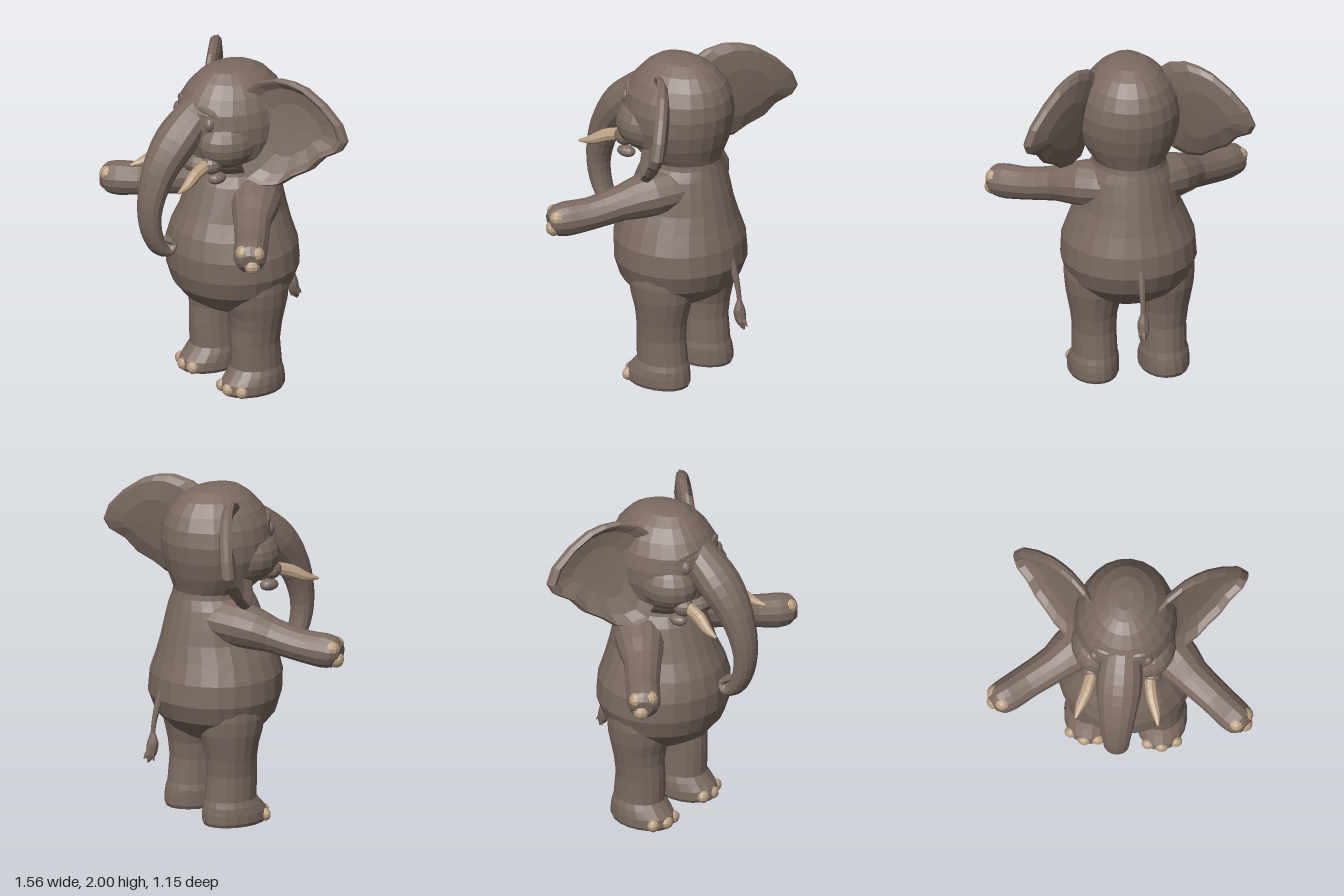
import * as THREE from 'three';

const V = (x, y, z) => new THREE.Vector3(x, y, z);

// Skin a list of closed rings and close both ends
function skin(rings) {
  const n = rings[0].length, pos = [], idx = [];
  rings.forEach(r => r.forEach(p => pos.push(p.x, p.y, p.z)));
  for (let i = 0; i < rings.length - 1; i++) {
    for (let j = 0; j < n; j++) {
      const k = (j + 1) % n, a = i * n + j, b = i * n + k;
      idx.push(a, b, b + n, a, b + n, a + n);
    }
  }
  [0, rings.length - 1].forEach((r, end) => {
    const c = rings[r].reduce((s, p) => s.add(p), V(0, 0, 0)).divideScalar(n);
    const ci = pos.length / 3;
    pos.push(c.x, c.y, c.z);
    for (let j = 0; j < n; j++) {
      const a = r * n + j, b = r * n + (j + 1) % n;
      if (end) idx.push(ci, a, b); else idx.push(ci, b, a);
    }
  });
  const g = new THREE.BufferGeometry();
  g.setAttribute('position', new THREE.Float32BufferAttribute(pos, 3));
  g.setIndex(idx);
  g.computeVertexNormals();
  return g;
}

// Horizontal oval slices: [y, half width, front z, back z, centre x]
function slices(rows, sides) {
  return skin(rows.map(([y, w, f, b, cx = 0]) => Array.from({ length: sides }, (_, j) => {
    const a = j / sides * Math.PI * 2;
    return V(cx + w * Math.cos(a), y, (f + b) / 2 - (f - b) / 2 * Math.sin(a));
  })));
}

// Oval limb along a curve: stations [x, y, z, radius along hint, radius across]
function limb(stations, steps, sides, hint) {
  const path = new THREE.CatmullRomCurve3(stations.map(s => V(s[0], s[1], s[2])));
  const size = new THREE.CatmullRomCurve3(stations.map(s => V(s[3], s[4], 0)));
  const rings = [];
  for (let i = 0; i <= steps; i++) {
    const t = i / steps, c = path.getPoint(t), T = path.getTangent(t), r = size.getPoint(t);
    const S = hint.clone().addScaledVector(T, -hint.dot(T)).normalize();
    const U = T.clone().cross(S);
    rings.push(Array.from({ length: sides }, (_, j) => {
      const a = j / sides * Math.PI * 2;
      return c.clone().addScaledVector(S, r.x * Math.cos(a)).addScaledVector(U, r.y * Math.sin(a));
    }));
  }
  return skin(rings);
}

const blob = (x, y, z, rx, ry, rz, w = 12, h = 8) =>
  new THREE.SphereGeometry(1, w, h).scale(rx, ry, rz).translate(x, y, z);

// Mirror across x = 0, keeping faces outward
function mirrored(geo) {
  const g = geo.clone().scale(-1, 1, 1), ix = g.index;
  for (let i = 0; i < ix.count; i += 3) {
    const b = ix.getX(i + 1);
    ix.setX(i + 1, ix.getX(i + 2));
    ix.setX(i + 2, b);
  }
  g.computeVertexNormals();
  return g;
}

export function createModel() {
  const hide = new THREE.MeshStandardMaterial({ color: 0x7b6a61, flatShading: true });
  hide.name = 'greyBrownHide';
  const ivory = new THREE.MeshStandardMaterial({ color: 0xb99f82, flatShading: true });
  ivory.name = 'ivory';
  const model = new THREE.Group();
  model.name = 'elephant';
  const add = (name, geo, mat = hide) => {
    const m = new THREE.Mesh(geo, mat);
    m.name = name;
    model.add(m);
  };
  const pair = (name, geo, mat = hide) => {
    add(name + 'Left', geo, mat);
    add(name + 'Right', mirrored(geo), mat);
  };
  const X = V(1, 0, 0), Y = V(0, 1, 0);

  // Torso
  add('torso', slices([
    [0.46, 0.1, 0.02, -0.15], [0.49, 0.2, 0.1, -0.25], [0.55, 0.29, 0.195, -0.35],
    [0.64, 0.365, 0.268, -0.435], [0.75, 0.4, 0.303, -0.475], [0.88, 0.392, 0.31, -0.465],
    [1.0, 0.345, 0.285, -0.43], [1.1, 0.3, 0.24, -0.408], [1.2, 0.28, 0.2, -0.385],
    [1.3, 0.255, 0.16, -0.36], [1.36, 0.215, 0.13, -0.345], [1.44, 0.2, 0.1, -0.33],
  ], 24));

  // Head
  add('head', slices([
    [1.34, 0.17, 0.08, -0.3], [1.38, 0.205, 0.13, -0.335], [1.43, 0.24, 0.19, -0.35],
    [1.5, 0.275, 0.225, -0.375], [1.6, 0.3, 0.25, -0.4], [1.7, 0.3, 0.26, -0.412],
    [1.79, 0.28, 0.25, -0.4], [1.87, 0.24, 0.2, -0.365], [1.94, 0.18, 0.135, -0.3],
    [1.985, 0.11, 0.07, -0.22], [2.0, 0.05, 0.0, -0.14],
  ], 24));
  pair('cheek', blob(0.15, 1.59, 0.055, 0.157, 0.155, 0.19, 16, 10));
  pair('lip', blob(0.175, 1.485, 0.19, 0.06, 0.058, 0.065));
  pair('mouthCorner', blob(0.195, 1.4, 0.165, 0.042, 0.035, 0.06));
  add('chin', blob(0, 1.45, 0.165, 0.16, 0.068, 0.11));
  pair('eye', blob(0.155, 1.73, 0.19, 0.032, 0.042, 0.034));
  pair('brow', limb([[0.07, 1.815, 0.21, 0.014, 0.014], [0.13, 1.81, 0.19, 0.022, 0.022],
    [0.21, 1.765, 0.13, 0.012, 0.014]], 6, 7, Y));

  // Trunk with curled tip
  add('trunk', limb([
    [0, 1.81, 0.1, 0.09, 0.085], [0, 1.715, 0.215, 0.125, 0.108], [0, 1.61, 0.32, 0.135, 0.12],
    [0, 1.48, 0.42, 0.115, 0.105], [0, 1.33, 0.485, 0.095, 0.083], [0, 1.18, 0.51, 0.08, 0.066],
    [0, 1.05, 0.49, 0.073, 0.057], [0, 0.96, 0.445, 0.07, 0.047], [0, 0.93, 0.395, 0.07, 0.036],
    [0, 0.967, 0.362, 0.062, 0.025], [0, 0.995, 0.382, 0.045, 0.018],
  ], 24, 14, X));

  // Tusks
  pair('tusk', limb([
    [0.17, 1.49, 0.21, 0.036, 0.038], [0.19, 1.46, 0.31, 0.036, 0.04],
    [0.222, 1.417, 0.4, 0.028, 0.028], [0.242, 1.4, 0.475, 0.007, 0.007],
  ], 8, 9, X), ivory);

  // Ears: a dished outline leaning back, skinned from the front hollow over the rim to the back
  const outline = [[0.18, 1.9], [0.24, 1.965], [0.32, 1.995], [0.39, 1.985], [0.46, 1.955],
    [0.56, 1.87], [0.65, 1.76], [0.69, 1.66], [0.67, 1.6], [0.6, 1.55], [0.55, 1.47], [0.48, 1.42],
    [0.42, 1.36], [0.34, 1.345], [0.27, 1.375], [0.22, 1.5], [0.19, 1.7]];
  const layers = [[0.15, -0.085], [0.5, -0.08], [0.8, -0.05], [0.92, -0.01], [0.97, 0], [1, -0.025],
    [0.98, -0.055], [0.88, -0.085], [0.5, -0.12], [0.15, -0.125]];
  pair('ear', skin(layers.map(([s, dz]) => outline.map(([x, y]) => {
    const px = 0.4 + (x - 0.4) * s, py = 1.68 + (y - 1.68) * s;
    return V(px, py, -0.015 - 0.8 * (px - 0.3) - 0.2 * (py - 1.4) + dz);
  }))));

  // Arms and their nails
  pair('arm', limb([
    [0.1, 1.235, -0.16, 0.12, 0.15], [0.25, 1.215, -0.07, 0.135, 0.15],
    [0.4, 1.165, 0.06, 0.102, 0.11], [0.55, 1.125, 0.17, 0.095, 0.1],
    [0.655, 1.11, 0.255, 0.103, 0.1], [0.715, 1.105, 0.298, 0.09, 0.09],
    [0.745, 1.1, 0.32, 0.05, 0.05],
  ], 12, 14, Y));
  [[0.685, 1.143, 0.322], [0.733, 1.137, 0.265], [0.732, 1.068, 0.294]].forEach(([x, y, z], i) =>
    pair('handNail' + (i + 1), blob(x, y, z, 0.048, 0.048, 0.048, 10, 7), ivory));

  // Legs flowing up into the hips, and toenails
  pair('leg', slices([
    [0, 0.14, 0.115, -0.275, 0.21], [0.02, 0.15, 0.128, -0.285, 0.21],
    [0.07, 0.15, 0.12, -0.283, 0.21], [0.115, 0.145, 0.08, -0.275, 0.208],
    [0.15, 0.134, 0.052, -0.265, 0.206], [0.3, 0.13, 0.055, -0.25, 0.208],
    [0.4, 0.138, 0.05, -0.258, 0.212], [0.48, 0.155, 0.06, -0.275, 0.21],
    [0.56, 0.172, 0.085, -0.295, 0.208], [0.65, 0.18, 0.1, -0.3, 0.208],
    [0.76, 0.17, 0.06, -0.28, 0.21],
  ], 18));
  [[0.148, 0.097], [0.226, 0.107], [0.306, 0.068]].forEach(([x, z], i) =>
    pair('toenail' + (i + 1), blob(x, 0.038, z, 0.04, 0.038, 0.034, 10, 7), ivory));

  // Tail with a tuft of hair
  add('tail', limb([
    [0, 0.8, -0.45, 0.022, 0.025], [0, 0.7, -0.482, 0.02, 0.02],
    [0, 0.6, -0.505, 0.015, 0.014], [0, 0.5, -0.515, 0.013, 0.013],
  ], 8, 8, X));
  add('tailTuft', limb([
    [0, 0.56, -0.51, 0.012, 0.012], [0, 0.48, -0.512, 0.035, 0.036],
    [0, 0.43, -0.522, 0.03, 0.034], [0, 0.375, -0.545, 0.004, 0.004],
  ], 8, 8, X));
  [[-0.018, 0.385, -0.515], [0.02, 0.39, -0.54], [0.004, 0.4, -0.572]].forEach(([x, y, z], i) =>
    add('tuftStrand' + (i + 1), limb([
      [x * 0.6, 0.47, -0.52, 0.014, 0.014], [x, 0.425, (z - 0.53) / 2, 0.013, 0.013],
      [x, y, z, 0.002, 0.002],
    ], 4, 6, X)));

  return model;
}
